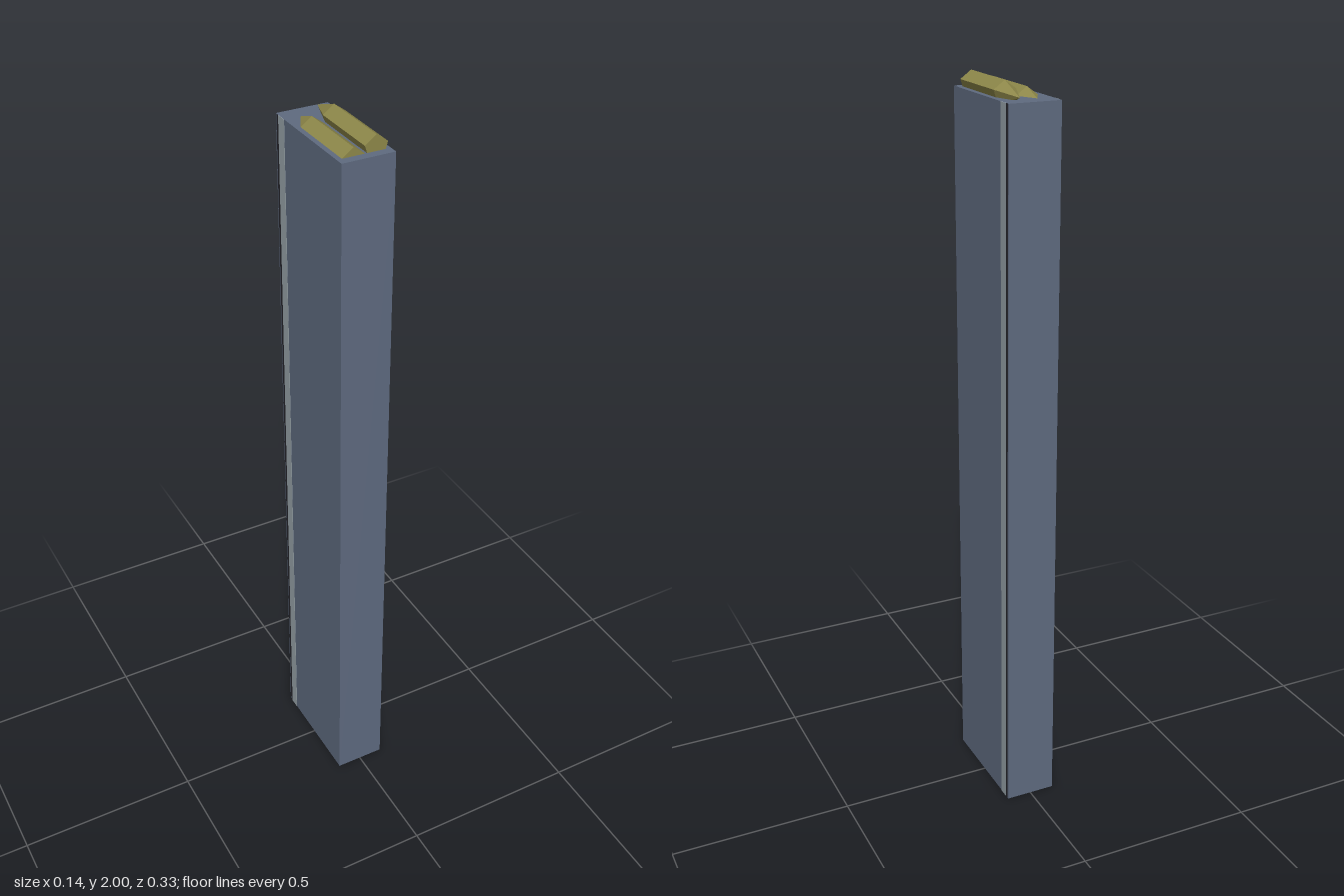
import * as THREE from 'three';

export function createModel() {
  const group = new THREE.Group();
  const steel = new THREE.MeshStandardMaterial({ color: 0x5f6b80, flatShading: true });
  steel.name = 'blueSteel';
  const pale = new THREE.MeshStandardMaterial({ color: 0x98a3a9, flatShading: true });
  pale.name = 'paleSteel';
  const dark = new THREE.MeshStandardMaterial({ color: 0x26262c, flatShading: true });
  dark.name = 'darkSeam';
  const brass = new THREE.MeshStandardMaterial({ color: 0x8f894a, flatShading: true });
  brass.name = 'brass';

  const H = 1.96, HALF_X = 0.07, HALF_Z = 0.163;

  function add(parent, name, geometry, material, x, y, z) {
    const mesh = new THREE.Mesh(geometry, material);
    mesh.name = name;
    mesh.position.set(x, y, z);
    parent.add(mesh);
    return mesh;
  }

  // Tall rectangular case
  add(group, 'case', new THREE.BoxGeometry(HALF_X * 2, H, HALF_Z * 2), steel, 0, H / 2, 0);

  // Pale rib and dark seam along the rear edge of both sides
  for (const [side, s] of [['left', 1], ['right', -1]]) {
    add(group, side + 'Rib', new THREE.BoxGeometry(0.002, H, 0.03), pale, s * HALF_X, H / 2, -0.134);
    add(group, side + 'Seam', new THREE.BoxGeometry(0.002, H, 0.009), dark, s * HALF_X, H / 2, -0.1535);
  }

  // Five-sided cartridges lying in the open top, tips toward the back
  const R = 0.0315, BODY = 0.2, TIP = 0.084;
  function cartridge(name, x, y) {
    const g = new THREE.Group();
    g.name = name;
    g.position.set(x, y, 0);
    const shell = new THREE.CylinderGeometry(R, R, BODY, 5).rotateX(-Math.PI / 2);
    const tip = new THREE.ConeGeometry(R, TIP, 5, 1, true).rotateX(-Math.PI / 2);
    add(g, 'shell', shell, brass, 0, 0, 0.04);
    add(g, 'tip', tip, brass, 0, 0, -0.06 - TIP / 2);
    group.add(g);
  }
  cartridge('upperCartridge', 0.032, 2 - R);
  cartridge('lowerCartridge', -0.027, 1.95);

  return group;
}
